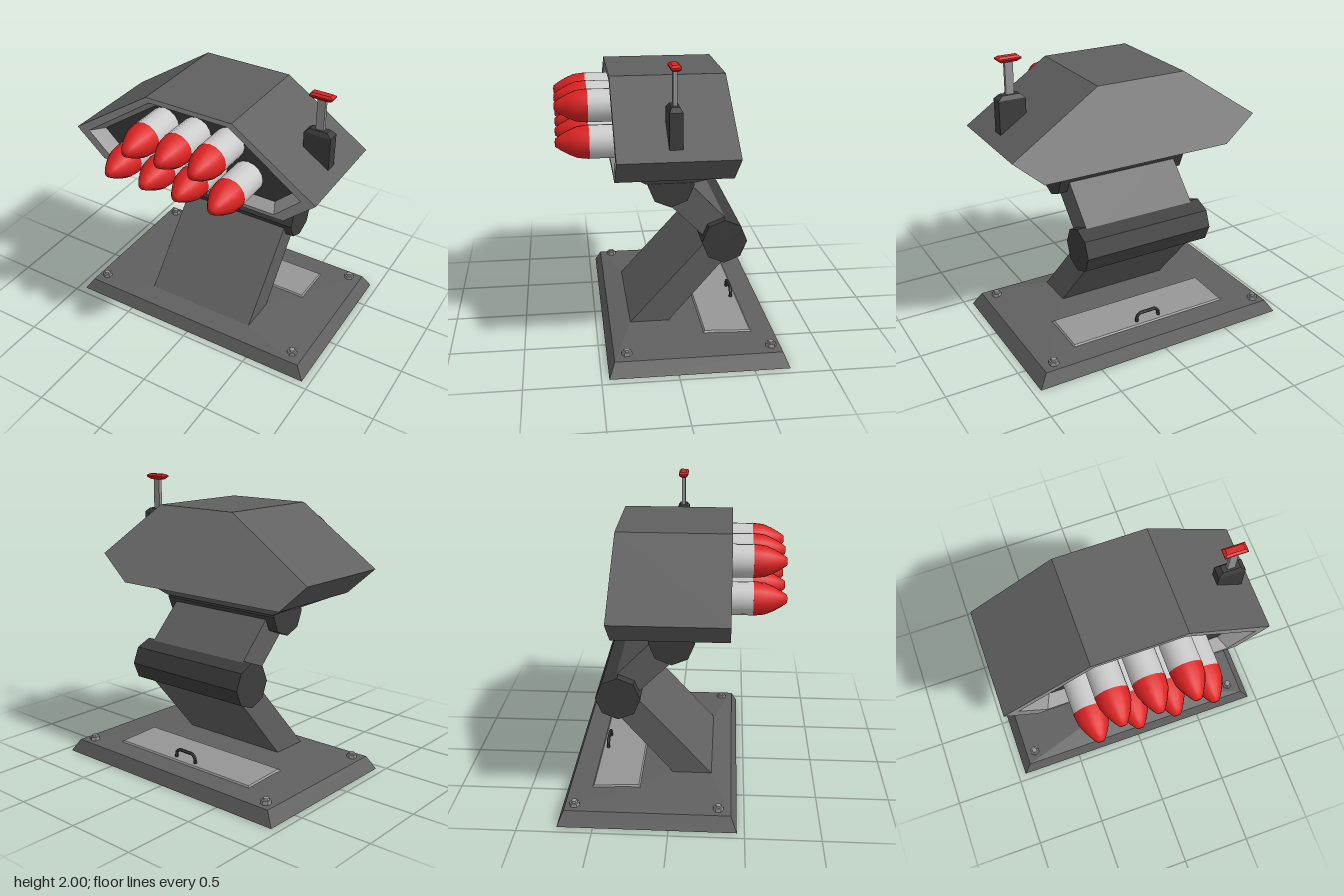
import * as THREE from 'three';

const paint = (color, extra = {}) => new THREE.MeshStandardMaterial({ color, ...extra });
const hull = paint(0x606060, { flatShading: true, side: THREE.DoubleSide });
const steel = paint(0x969696, { flatShading: true, side: THREE.DoubleSide });
const dark = paint(0x3c3c3c, { flatShading: true });
const red = paint(0xdd2222, { flatShading: true });
const redSmooth = paint(0xdd2222);
const white = paint(0xcccccc);

// Flat-faced skin through matching rings of [x, y, z] corners
function loft(rings, capStart = false, capEnd = false) {
  const pos = [];
  const tri = (...pts) => pts.forEach((p) => pos.push(...p));
  const fan = (r) => { for (let i = 1; i < r.length - 1; i++) tri(r[0], r[i], r[i + 1]); };
  for (let k = 0; k < rings.length - 1; k++) {
    const a = rings[k], b = rings[k + 1];
    a.forEach((_, i) => {
      const j = (i + 1) % a.length;
      tri(a[i], a[j], b[j]);
      tri(a[i], b[j], b[i]);
    });
  }
  if (capStart) fan([...rings[0]].reverse());
  if (capEnd) fan(rings[rings.length - 1]);
  const g = new THREE.BufferGeometry();
  g.setAttribute('position', new THREE.Float32BufferAttribute(pos, 3));
  g.computeVertexNormals();
  return g;
}

// Four-corner ring from its half width and its front and back edges
const rect = (hx, zf, yf, zb, yb = yf) => [[-hx, yf, zf], [hx, yf, zf], [hx, yb, zb], [-hx, yb, zb]];

// Six-sided launcher outline at depth z
const outline = (wTop, yTop, wMid, yMid, wBot, yBot, z) => [
  [-wBot, yBot, z], [wBot, yBot, z], [wMid, yMid, z], [wTop, yTop, z], [-wTop, yTop, z], [-wMid, yMid, z]];

export function createModel() {
  const model = new THREE.Group();
  const add = (name, geometry, material, x = 0, y = 0, z = 0, parent = model) => {
    const m = new THREE.Mesh(geometry, material);
    m.name = name;
    m.position.set(x, y, z);
    parent.add(m);
    return m;
  };

  // Hollow base plate rising to the arm foot, continued as the lower arm
  const foot = rect(0.415, 0.27, 0.12, 0);
  add('base', loft([rect(0.945, 0.45, 0, -0.74), rect(0.885, 0.41, 0.09, -0.7), foot]), hull);
  add('lowerArm', loft([foot, rect(0.415, -0.25, 0.7, -0.4, 0.59)], false, true), hull);

  // Service hatch with its handle
  add('hatch', loft([
    rect(0.61, -0.21, 0.105, -0.55, 0.09),
    rect(0.595, -0.225, 0.121, -0.535, 0.107),
  ], true, true), steel);
  const grip = new THREE.CurvePath();
  const gripPts = [[-0.09, 0.1], [-0.085, 0.15], [-0.06, 0.17], [0.06, 0.17], [0.085, 0.15], [0.09, 0.1]]
    .map(([x, y]) => new THREE.Vector3(x, y, -0.5));
  for (let i = 0; i < gripPts.length - 1; i++) grip.add(new THREE.LineCurve3(gripPts[i], gripPts[i + 1]));
  add('hatchHandle', new THREE.TubeGeometry(grip, 40, 0.012, 6), dark);

  // Corner bolts
  for (const x of [-0.82, 0.8]) {
    for (const z of [0.325, -0.635]) {
      const bolt = new THREE.Group();
      bolt.name = 'bolt';
      bolt.position.set(x, 0.09, z);
      add('boltWasher', new THREE.CylinderGeometry(0.034, 0.036, 0.03, 6), steel, 0, 0.013, 0, bolt);
      add('boltHead', new THREE.CylinderGeometry(0.02, 0.024, 0.014, 6), steel, 0, 0.034, 0, bolt);
      model.add(bolt);
    }
  }

  // Octagonal hinges and the upper arm between them
  const hinge = (name, width, y, z) => {
    const g = new THREE.CylinderGeometry(0.154, 0.154, width, 8).rotateZ(Math.PI / 2);
    add(name, g, dark, -0.003, y, z);
  };
  hinge('elbowHinge', 0.96, 0.72, -0.37);
  hinge('upperHinge', 0.975, 1.14, -0.005);
  add('upperArm', loft([
    rect(0.415, -0.3, 0.68, -0.44, 0.81),
    rect(0.415, 0.05, 1.03, -0.09, 1.173),
  ], true, true), hull);

  // Flared bracket under the launcher
  add('bracket', loft([rect(0.485, 0.165, 1.155, -0.165), rect(0.7, 0.22, 1.25, -0.22)], true), hull);

  // Launcher housing, back plate, framed opening and recessed panel
  const outer = (z) => outline(0.32, 1.84, 0.918, 1.44, 0.703, 1.25, z);
  const recess = outline(0.258, 1.775, 0.74, 1.44, 0.595, 1.305, 0.29);
  add('housing', loft([outer(-0.38), outer(0.38)]), hull);
  add('backPlate', loft([outer(-0.38)], true), steel);
  add('frontFrame', loft([outer(0.38), outline(0.298, 1.805, 0.817, 1.44, 0.637, 1.275, 0.38), recess]), steel);
  add('recessPanel', loft([recess], false, true), dark);

  // Rockets: upper row of three, lower row of four
  const lathe = (pts) => new THREE.LatheGeometry(pts.map((p) => new THREE.Vector2(...p)), 16).rotateX(Math.PI / 2);
  const bodyGeo = lathe([[0.11, 0.28], [0.11, 0.52]]);
  const tipGeo = lathe([[0.112, 0.52], [0.103, 0.595], [0.08, 0.65], [0.052, 0.7], [0.026, 0.737], [0, 0.74]]);
  const rows = [[1.635, [-0.237, 0.008, 0.255]], [1.43, [-0.385, -0.12, 0.13, 0.393]]];
  for (const [y, xs] of rows) {
    for (const x of xs) {
      const rocket = new THREE.Group();
      rocket.name = 'rocket';
      rocket.position.set(x, y, 0);
      add('rocketBody', bodyGeo, white, 0, 0, 0, rocket);
      add('rocketTip', tipGeo, redSmooth, 0, 0, 0, rocket);
      model.add(rocket);
    }
  }

  // Sensor mast on the left slope
  const mast = new THREE.Group();
  mast.name = 'sensorMast';
  mast.position.set(0.748, 0, 0.012);
  add('mastBox', loft([
    rect(0.093, 0.042, 1.49, -0.042),
    rect(0.093, 0.042, 1.72, -0.042),
    rect(0.06, 0.026, 1.748, -0.026),
  ], true, true), dark, 0, 0, 0, mast);
  add('mastPost', new THREE.BoxGeometry(0.055, 0.23, 0.026), steel, 0, 1.855, 0, mast);
  add('mastCap', loft([
    rect(0.052, 0.018, 1.96, -0.018),
    rect(0.078, 0.034, 1.978, -0.034),
    rect(0.078, 0.034, 1.988, -0.034),
    rect(0.06, 0.02, 2, -0.02),
  ], true, true), red, 0, 0, 0, mast);
  model.add(mast);

  return model;
}
